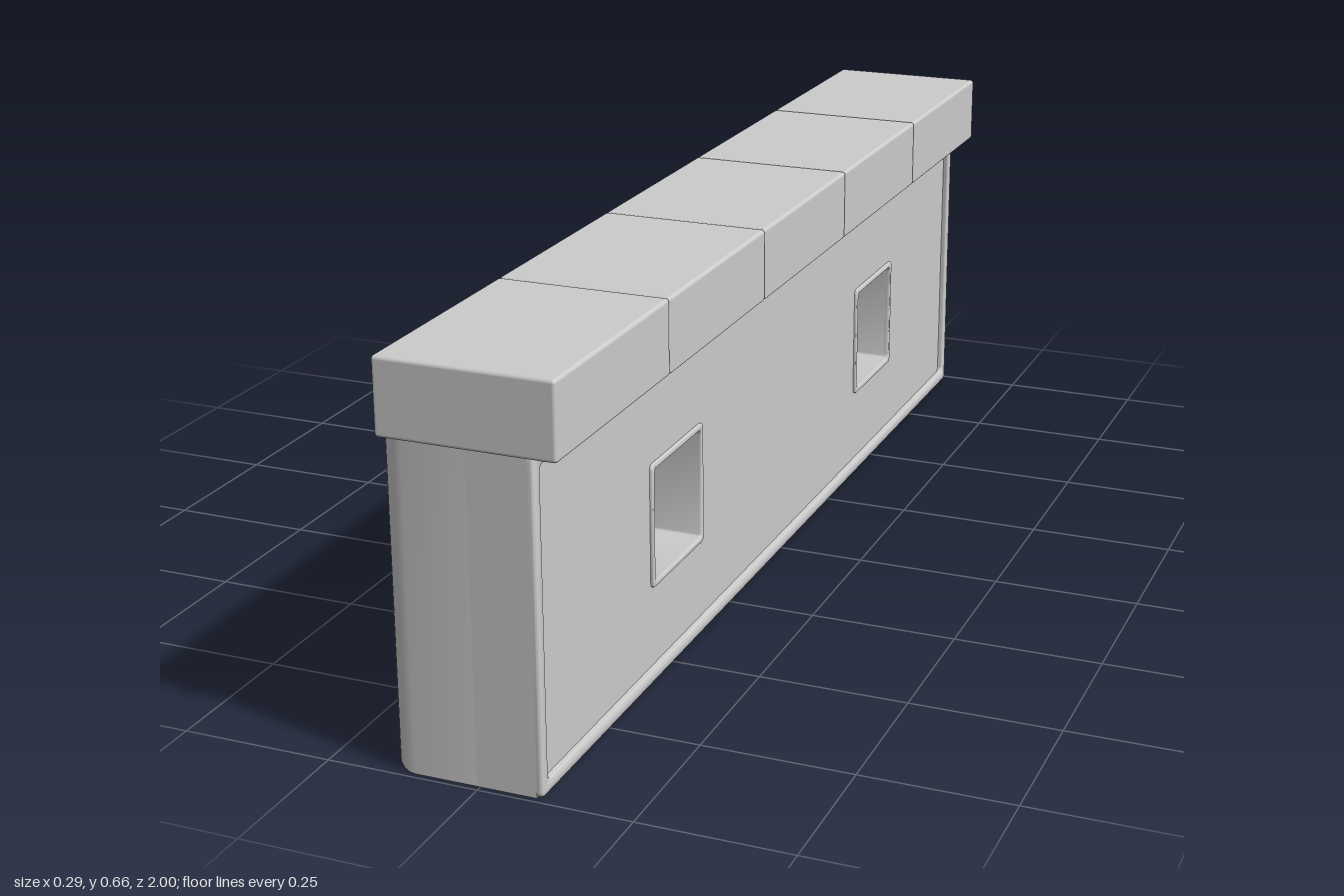
import * as THREE from 'three';
import { toCreasedNormals } from 'three/addons/utils/BufferGeometryUtils.js';
import { RoundedBoxGeometry } from 'three/addons/geometries/RoundedBoxGeometry.js';

const material = new THREE.MeshStandardMaterial({ color: 0xcccccc });
const HALF = 0.99, TOP = 0.535;
// window openings: [zMin, zMax]
const windows = [[0.37, 0.56], [-0.608, -0.417]];
const SILL = 0.167, HEAD = 0.357;

// rectangle in (z, y), optionally with rounded corners; drawn mirrored in z for the later turn
function rect(Type, z0, z1, y0, y1, r = 0) {
  const p = new Type(), a = -z1, b = -z0;
  if (r === 0) {
    p.moveTo(a, y0); p.lineTo(b, y0); p.lineTo(b, y1); p.lineTo(a, y1); p.closePath();
    return p;
  }
  p.moveTo(a + r, y0);
  p.lineTo(b - r, y0); p.quadraticCurveTo(b, y0, b, y0 + r);
  p.lineTo(b, y1 - r); p.quadraticCurveTo(b, y1, b - r, y1);
  p.lineTo(a + r, y1); p.quadraticCurveTo(a, y1, a, y1 - r);
  p.lineTo(a, y0 + r); p.quadraticCurveTo(a, y0, a + r, y0);
  return p;
}

// extrude a (z, y) shape along x between x0 and x1, rounding both ends inward
function slab(shape, x0, x1, thick = 0, size = 0) {
  const g = new THREE.ExtrudeGeometry(shape, {
    depth: x1 - x0 - 2 * thick, curveSegments: 4,
    bevelEnabled: thick > 0, bevelThickness: thick, bevelSize: size,
    bevelOffset: -size, bevelSegments: 5,
  });
  g.translate(0, 0, x0 + thick).rotateY(Math.PI / 2);
  return toCreasedNormals(g, 0.6);
}

function wallShape() {
  const s = rect(THREE.Shape, -HALF, HALF, 0, TOP);
  for (const [a, b] of windows) s.holes.push(rect(THREE.Path, a, b, SILL, HEAD, 0.01));
  return s;
}

function frameShape(z0, z1, y0, y1, w) {
  const s = rect(THREE.Shape, z0, z1, y0, y1, 0.01);
  s.holes.push(rect(THREE.Path, z0 + w, z1 - w, y0 + w, y1 - w, 0.01));
  return s;
}

export function createModel() {
  const group = new THREE.Group();
  const add = (name, geometry) => {
    const m = new THREE.Mesh(geometry, material);
    m.name = name;
    group.add(m);
    return m;
  };

  // wall: softly rounded outer half, crisp inner half
  add('wallRoundedHalf', slab(wallShape(), -0.143, 0.03, 0.035, 0.025));
  add('wallPanelHalf', slab(wallShape(), -0.005, 0.092));

  // raised rim around the panel and thin lips around the windows
  add('panelRim', slab(frameShape(-HALF, HALF, 0, TOP, 0.022), 0.084, 0.102, 0.006, 0.006));
  for (const [a, b] of windows) {
    add('windowLip', slab(frameShape(a - 0.01, b + 0.01, SILL - 0.01, HEAD + 0.01, 0.01), 0.085, 0.097, 0.003, 0.003));
  }

  // row of coping blocks along the top
  const count = 5, length = 2 / count;
  for (let i = 0; i < count; i++) {
    const block = add('copingBlock', new RoundedBoxGeometry(0.287, 0.123, length - 0.001, 3, 0.006));
    block.position.set(-0.001, 0.5935, -1 + length * (i + 0.5));
  }
  return group;
}
